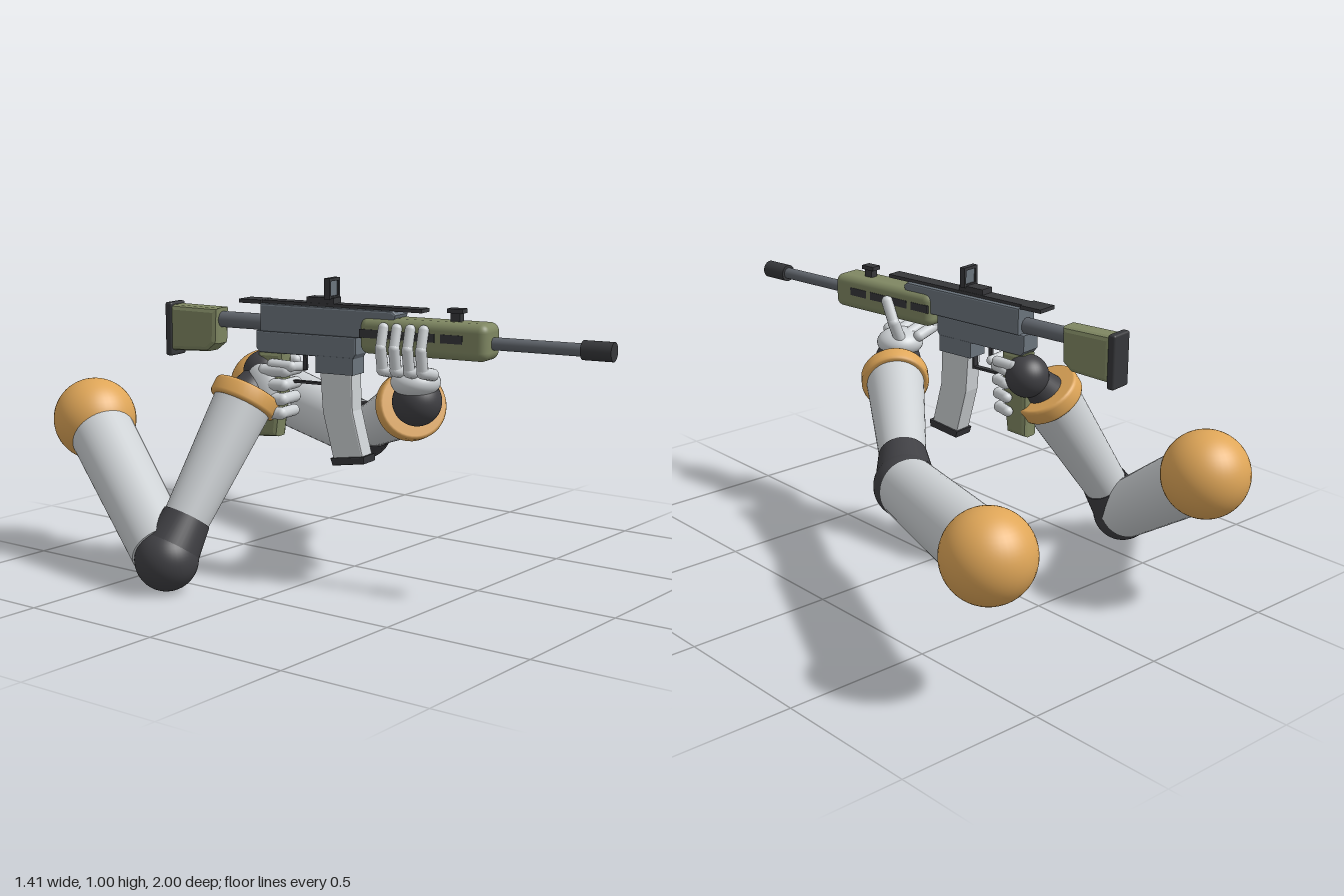
import * as THREE from 'three';
import { RoundedBoxGeometry } from 'three/addons/geometries/RoundedBoxGeometry.js';

const mat = (name, color) => {
  const m = new THREE.MeshStandardMaterial({ color });
  m.name = name;
  return m;
};
const V = (a) => new THREE.Vector3(...a);

export function createModel() {
  const light = mat('light grey', 0xcdd1d4);
  const joint = mat('charcoal', 0x404044);
  const orange = mat('orange', 0xdfa658);
  const slate = mat('slate', 0x6b747d);
  const steel = mat('steel', 0x60656c);
  const black = mat('black', 0x36373a);
  const green = mat('olive', 0x7f8762);

  const model = new THREE.Group();
  model.name = 'armsWithRifle';

  const group = (name, parent = model) => {
    const g = new THREE.Group();
    g.name = name;
    parent.add(g);
    return g;
  };
  const add = (parent, name, geo, material, pos = [0, 0, 0]) => {
    const m = new THREE.Mesh(geo, material);
    m.name = name;
    m.position.set(...pos);
    parent.add(m);
    return m;
  };
  const ball = (parent, name, r, material, pos) =>
    add(parent, name, new THREE.SphereGeometry(r, 40, 28), material, pos);
  const box = (parent, name, size, material, pos) =>
    add(parent, name, new THREE.BoxGeometry(...size), material, pos);
  const rounded = (parent, name, size, r, material, pos) =>
    add(parent, name, new RoundedBoxGeometry(...size, 4, r), material, pos);

  // Lay a y-aligned mesh along the line a-b, centred on it
  const along = (mesh, a, b) => {
    const d = b.clone().sub(a).normalize();
    mesh.quaternion.setFromUnitVectors(new THREE.Vector3(0, 1, 0), d);
    mesh.position.copy(a).lerp(b, 0.5);
    return mesh;
  };
  const rod = (parent, name, a, b, ra, rb, material) =>
    along(add(parent, name, new THREE.CylinderGeometry(rb, ra, a.distanceTo(b), 40), material), a, b);

  // Finger made of a chain of capsules
  const finger = (parent, name, pts, r) => {
    const g = group(name, parent);
    for (let i = 0; i < pts.length - 1; i++) {
      const a = V(pts[i]), b = V(pts[i + 1]);
      along(add(g, 'fingerSegment', new THREE.CapsuleGeometry(r - i * 0.0015, a.distanceTo(b), 6, 14), light), a, b);
    }
  };

  // Side profile in (z, y), extruded to a width across x
  const slab = (parent, name, pts, width, bevel, material) => {
    const shape = new THREE.Shape(pts.map((p) => new THREE.Vector2(...p)));
    const geo = new THREE.ExtrudeGeometry(shape, {
      depth: width - 2 * bevel, bevelEnabled: bevel > 0, bevelSize: bevel,
      bevelThickness: bevel, bevelOffset: -bevel, bevelSegments: 2,
    });
    geo.translate(0, 0, -(width / 2 - bevel));
    geo.rotateY(-Math.PI / 2);
    return add(parent, name, geo, material);
  };

  // Arms: shoulder ball, tapered limbs, elbow ball with collar, wrist cuff
  const arm = (name, shoulder, elbow, cuff, wrist, wristRadius) => {
    const g = group(name);
    const s = V(shoulder), e = V(elbow), c = V(cuff), w = V(wrist);
    const dir = c.clone().sub(e).normalize();
    ball(g, 'shoulder', 0.143, orange, shoulder);
    rod(g, 'upperArm', s, e.clone().lerp(s, 0.06), 0.113, 0.102, light);
    ball(g, 'elbow', 0.104, joint, elbow);
    const collarEnd = e.clone().addScaledVector(dir, 0.15);
    rod(g, 'elbowCollar', e, collarEnd, 0.1, 0.08, joint);
    rod(g, 'forearm', collarEnd, c, 0.077, 0.1, light);
    const profile = [[0, -0.03], [0.105, -0.03], [0.112, -0.027], [0.116, -0.018],
      [0.116, 0.018], [0.112, 0.027], [0.105, 0.03], [0, 0.03]];
    const band = add(g, 'wristCuff',
      new THREE.LatheGeometry(profile.map((p) => new THREE.Vector2(...p)), 40), orange);
    along(band, c.clone().addScaledVector(dir, -0.01), c.clone().addScaledVector(dir, 0.01));
    rod(g, 'wristStem', c, w, 0.07, 0.05, joint);
    ball(g, 'wrist', wristRadius, joint, wrist);
  };
  arm('rightArm', [-0.37, 0.475, -0.857], [-0.603, 0.107, -0.305], [-0.282, 0.598, -0.24], [-0.2, 0.678, -0.222], 0.073);
  arm('leftArm', [0.56, 0.475, -0.857], [0.3, 0.41, -0.19], [-0.02, 0.588, 0.245], [-0.1, 0.62, 0.325], 0.08);

  // Rifle, turned slightly about the vertical
  const turned = (name) => {
    const g = group(name);
    g.position.x = -0.179;
    g.rotation.y = 0.14;
    return g;
  };
  const gun = turned('rifle');
  const P = (z, y = 0.827) => new THREE.Vector3(0, y, z);
  rod(gun, 'muzzle', P(0.905), P(1.003), 0.03, 0.03, black);
  rod(gun, 'barrel', P(0.55), P(0.91), 0.02, 0.02, steel);
  rounded(gun, 'handguard', [0.116, 0.117, 0.445], 0.028, green, [0, 0.831, 0.39]);
  for (const side of [-1, 1])
    for (let i = 0; i < 4; i++)
      box(gun, 'handguardSlot', [0.006, 0.027, 0.075], black, [side * 0.057, 0.839, 0.495 - i * 0.095]);
  box(gun, 'frontSightPost', [0.028, 0.03, 0.032], black, [0, 0.9, 0.487]);
  box(gun, 'frontSightCap', [0.036, 0.014, 0.052], black, [0, 0.922, 0.487]);

  // Receiver, rail and magazine well
  slab(gun, 'upperReceiver', [[0.265, 0.82], [0.295, 0.9], [0.28, 0.912], [-0.208, 0.912], [-0.208, 0.82]], 0.088, 0.006, slate);
  slab(gun, 'lowerReceiver', [[0.148, 0.822], [0.148, 0.765], [0.138, 0.75], [-0.215, 0.75], [-0.228, 0.765], [-0.228, 0.822]], 0.076, 0.005, slate);
  box(gun, 'topRail', [0.054, 0.012, 0.59], black, [0, 0.916, 0.082]);
  box(gun, 'rearRail', [0.074, 0.013, 0.085], black, [0, 0.916, -0.25]);
  box(gun, 'magazineWell', [0.076, 0.056, 0.138], slate, [0, 0.725, 0.068]);

  // Curved magazine with a dark floor plate
  slab(gun, 'magazine', [[0.13, 0.71], [0.134, 0.58], [0.172, 0.43], [0.062, 0.415], [0.022, 0.57], [0.012, 0.71]], 0.066, 0.005, light);
  slab(gun, 'magazinePlate', [[0.18, 0.437], [0.178, 0.412], [0.062, 0.396], [0.054, 0.42]], 0.08, 0.004, black);

  // Optic: base, frame and pane
  box(gun, 'opticBase', [0.05, 0.022, 0.1], black, [0, 0.93, 0.01]);
  for (const s of [-1, 1])
    box(gun, 'opticFrameSide', [0.009, 0.066, 0.02], black, [s * 0.029, 0.97, 0.04]);
  for (const y of [0.941, 0.999])
    box(gun, 'opticFrameBar', [0.066, 0.01, 0.02], black, [0, y, 0.04]);
  box(gun, 'opticPane', [0.05, 0.05, 0.008], slate, [0, 0.97, 0.04]);

  // Stock
  rod(gun, 'stockTube', P(-0.4, 0.846), P(-0.2, 0.846), 0.027, 0.027, steel);
  slab(gun, 'stock', [[-0.38, 0.885], [-0.385, 0.765], [-0.42, 0.738], [-0.57, 0.732], [-0.57, 0.888]], 0.082, 0.016, green);
  rounded(gun, 'buttPad', [0.084, 0.182, 0.028], 0.008, black, [0, 0.805, -0.575]);

  // Grip, trigger and guard
  slab(gun, 'pistolGrip', [[-0.13, 0.755], [-0.135, 0.62], [-0.155, 0.47], [-0.235, 0.465], [-0.235, 0.62], [-0.225, 0.755]], 0.066, 0.015, green);
  box(gun, 'triggerGuardBar', [0.02, 0.008, 0.15], black, [0, 0.657, -0.062]);
  box(gun, 'triggerGuardFront', [0.02, 0.1, 0.008], black, [0, 0.703, 0.009]);
  box(gun, 'trigger', [0.012, 0.055, 0.012], black, [0, 0.725, -0.06]);

  // Left hand under the handguard
  const left = turned('leftHand');
  ball(left, 'palm', 1, light, [0.018, 0.685, 0.335]).scale.set(0.082, 0.05, 0.08);
  for (let i = 0; i < 4; i++) {
    const z = 0.263 + i * 0.047;
    finger(left, 'finger', [[0.0, 0.715, z], [-0.07, 0.73, z], [-0.084, 0.8, z], [-0.066, 0.862, z]], 0.02);
  }
  finger(left, 'thumb', [[0.05, 0.695, 0.3], [0.078, 0.77, 0.31], [0.073, 0.84, 0.345]], 0.021);

  // Right hand around the grip
  const right = turned('rightHand');
  ball(right, 'palm', 1, light, [-0.045, 0.63, -0.205]).scale.set(0.035, 0.085, 0.06);
  for (let i = 0; i < 4; i++) {
    const y = 0.695 - i * 0.047, z = -0.112 - i * 0.005;
    finger(right, 'finger', [[-0.05, y, z - 0.075], [-0.045, y, z], [0.034, y, z], [0.054, y, z - 0.05]], 0.021);
  }
  finger(right, 'triggerFinger', [[-0.045, 0.715, -0.16], [-0.042, 0.712, -0.09], [0.025, 0.705, -0.082]], 0.018);
  finger(right, 'thumb', [[0.0, 0.71, -0.25], [0.052, 0.715, -0.2], [0.054, 0.72, -0.13]], 0.019);

  return model;
}
